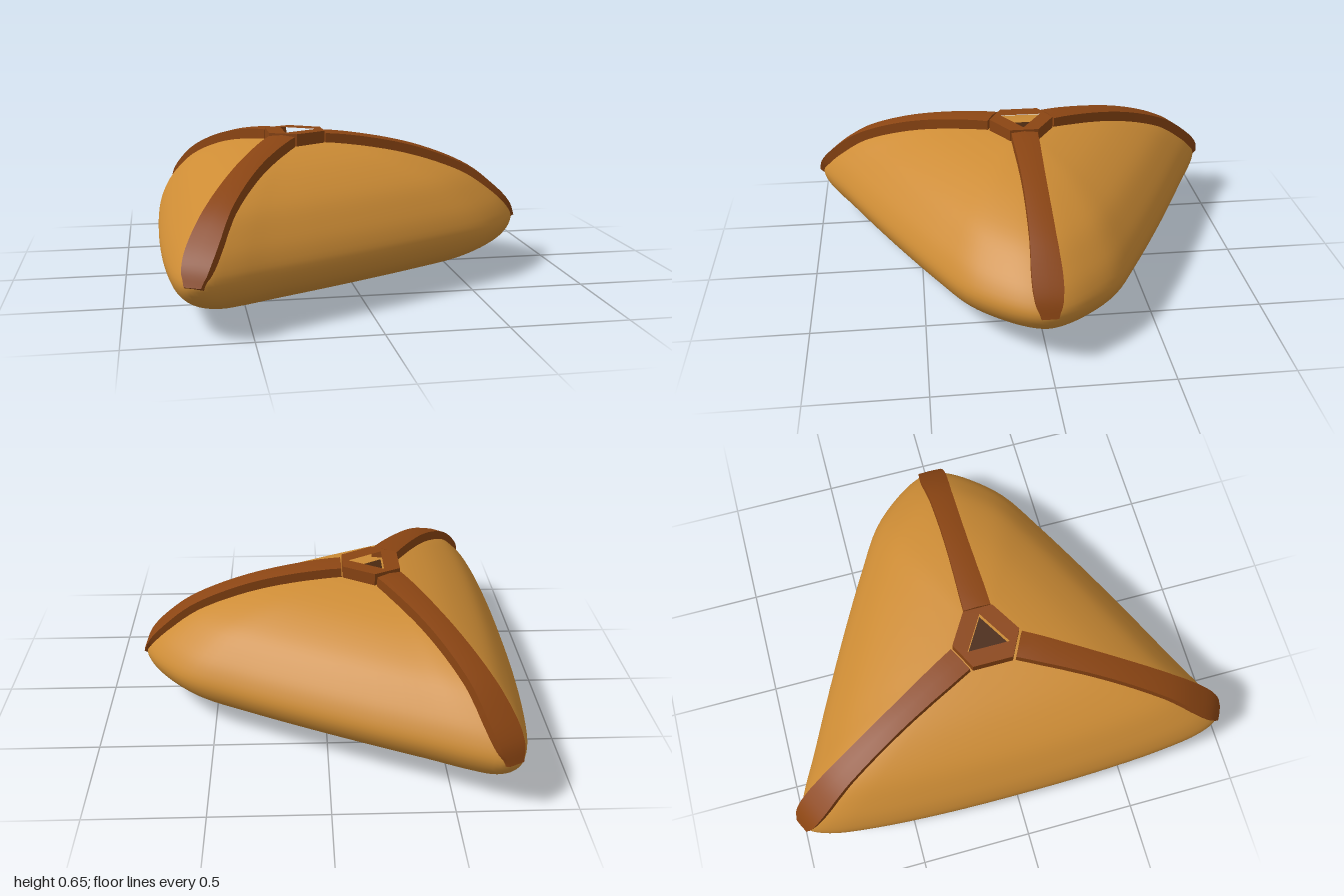
import * as THREE from 'three';
import { toCreasedNormals } from 'three/addons/utils/BufferGeometryUtils.js';

const CX = -0.22; // x of the peak where the three seams meet
const v2 = (p) => new THREE.Vector2(p[0], p[1]);

// Height profile from peak to rim, as (fraction of the radius, y)
const topProfile = [[0, 0.613], [0.2, 0.602], [0.42, 0.565], [0.6, 0.515], [0.77, 0.445],
  [0.89, 0.362], [0.965, 0.29], [1, 0.22]];
const bottomProfile = [[0.965, 0.15], [0.88, 0.1], [0.77, 0.067], [0.6, 0.037], [0.4, 0.018], [0.2, 0.008], [0, 0.003]];

// Rounded triangular plan outline, half of it, mirrored in z
const halfPlan = [[0.832, 0], [0.81, 0.08], [0.74, 0.19], [0.61, 0.325], [0.4, 0.45], [0.1, 0.61], [-0.2, 0.76],
  [-0.43, 0.87], [-0.59, 0.95], [-0.69, 0.985], [-0.75, 0.965], [-0.79, 0.88], [-0.82, 0.68], [-0.84, 0.35], [-0.845, 0]];

// Skin over rows of points; every row is a closed loop of equal length
function skin(rows) {
  const n = rows[0].length, index = [];
  for (let j = 0; j < rows.length - 1; j++) {
    for (let i = 0; i < n; i++) {
      const a = j * n + i, b = j * n + (i + 1) % n;
      index.push(a, b, a + n, b, b + n, a + n);
    }
  }
  const g = new THREE.BufferGeometry();
  g.setAttribute('position', new THREE.Float32BufferAttribute(rows.flat(2), 3));
  g.setIndex(index);
  g.computeVertexNormals();
  return g;
}

function bodyGeometry() {
  const plan = halfPlan.concat(halfPlan.slice(1, -1).reverse().map(([x, z]) => [x, -z]));
  const curve = new THREE.CatmullRomCurve3(plan.map(([x, z]) => new THREE.Vector3(x, 0, z)), true, 'centripetal');
  const rim = curve.getPoints(112).slice(0, -1);
  const profile = new THREE.SplineCurve(topProfile.concat(bottomProfile).map(v2)).getPoints(56);
  return skin(profile.map((p) => rim.map((o) => [CX + p.x * (o.x - CX), p.y, p.x * o.z])));
}

// Raised strip following the ridge in direction (dx, dz), of the given reach
function seamGeometry(dx, dz, reach) {
  const path = new THREE.SplineCurve(topProfile.map(([t, y]) => new THREE.Vector2(t * reach, y)));
  const widths = new THREE.SplineCurve([[0, 0.066], [0.2, 0.06], [0.5, 0.052], [0.75, 0.055], [0.9, 0.064],
    [0.97, 0.058], [1, 0.035]].map(v2)).getPoints(60);
  const halfWidth = (t) => widths.find((w) => w.x >= t - 1e-6).y;
  const rows = [];
  const N = 30;
  for (let j = 0; j <= N; j++) {
    const s = 0.1 + 0.9 * j / N;
    const p = path.getPoint(s), tan = path.getTangent(s);
    const t = Math.min(p.x / reach, 0.999), w = halfWidth(t);
    const h = THREE.MathUtils.lerp(0.046, 0.008, Math.pow(t, 4));
    const section = [[-w, -0.06], [-w, h * 0.85], [0, h], [w, h * 0.85], [w, -0.06]];
    rows.push(section.map(([side, up]) => {
      const r = p.x - tan.y * up, y = p.y + tan.x * up;
      return [CX + r * dx - side * dz, y, r * dz + side * dx];
    }));
  }
  // close both ends
  const middle = (row) => row.map(() => [0, 1, 2].map((k) => row.reduce((sum, q) => sum + q[k], 0) / row.length));
  rows.unshift(middle(rows[0]));
  rows.push(middle(rows[rows.length - 1]));
  return toCreasedNormals(skin(rows), 0.6);
}

export function createModel() {
  const group = new THREE.Group();
  const crust = new THREE.MeshStandardMaterial({ color: 0xcd8c35 });
  const brown = new THREE.MeshStandardMaterial({ color: 0x8b4513 });
  const dark = new THREE.MeshStandardMaterial({ color: 0x4a2810 });
  const add = (name, geometry, material) => {
    const mesh = new THREE.Mesh(geometry, material);
    mesh.name = name;
    group.add(mesh);
    return mesh;
  };

  add('body', bodyGeometry(), crust);

  // Three seams running from the peak to the corners
  const corners = [[0.835, 0], [-0.725, 0.985], [-0.725, -0.985]];
  const ring = [], hole = [];
  corners.forEach(([x, z], i) => {
    const reach = Math.hypot(x - CX, z), dx = (x - CX) / reach, dz = z / reach;
    add('seam' + (i + 1), seamGeometry(dx, dz, reach), brown);
    for (const side of [-0.066, 0.066]) ring.push(new THREE.Vector2(CX + 0.135 * dx - side * dz, -(0.135 * dz + side * dx)));
    hole.push(new THREE.Vector2(CX + 0.106 * dx, -0.106 * dz));
  });

  // Junction collar with a triangular opening
  const collar = new THREE.Shape(ring);
  collar.holes.push(new THREE.Path(hole));
  const collarGeometry = new THREE.ExtrudeGeometry(collar, { depth: 0.09, bevelEnabled: false });
  collarGeometry.rotateX(-Math.PI / 2).translate(0, 0.568, 0);
  add('junctionCollar', collarGeometry, brown);

  // Dark filling at the bottom of the opening
  const floor = new THREE.ShapeGeometry(new THREE.Shape(hole));
  floor.rotateX(-Math.PI / 2).translate(0, 0.618, 0);
  add('openingFloor', floor, dark);

  return group;
}
